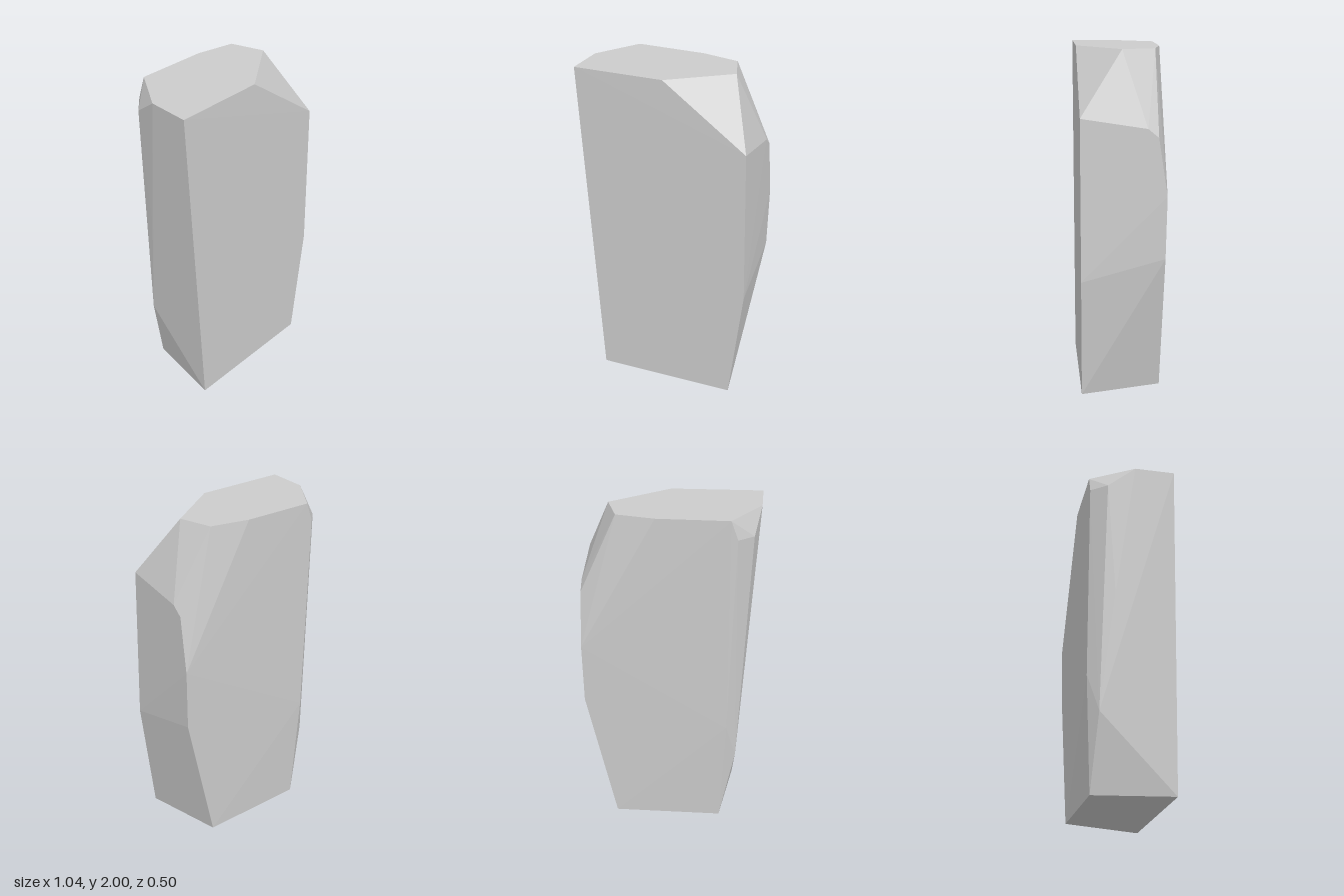
import * as THREE from 'three';
import { ConvexGeometry } from 'three/addons/geometries/ConvexGeometry.js';

// One chipped, upright stone: the convex hull of a few corner rings.
export function createModel() {
  const corners = [
    // flat top outline
    [-0.52, 2, 0.24], [0.01, 2, 0.24], [0.35, 2, 0], [0.29, 2, -0.19],
    [0.07, 2, -0.24], [-0.34, 2, -0.25], [-0.51, 2, 0],
    // chipped corner at the back, -x side
    [-0.38, 1.89, -0.25], [-0.47, 1.88, -0.16],
    // narrow bevel running down that corner
    [-0.455, 1.16, -0.11], [-0.41, 0.45, -0.19], [-0.35, 0.68, -0.25],
    // bulging +x side, front edge
    [0.5, 1.64, 0.243], [0.52, 0.72, 0.245],
    // bulging +x side, back edge
    [0.5, 1.58, -0.13], [0.5, 1.53, -0.19], [0.505, 1.2, -0.24], [0.5, 0.84, -0.233],
    // base
    [-0.4, 0, 0.245], [0.44, 0.01, 0.243], [0.325, 0.01, -0.225], [-0.32, 0, -0.22],
  ];
  const geometry = new ConvexGeometry(corners.map((c) => new THREE.Vector3(...c)));
  const material = new THREE.MeshStandardMaterial({ color: 0xcccccc, flatShading: true });

  const stone = new THREE.Mesh(geometry, material);
  stone.name = 'stone';

  const group = new THREE.Group();
  group.name = 'standingStone';
  group.add(stone);
  return group;
}
